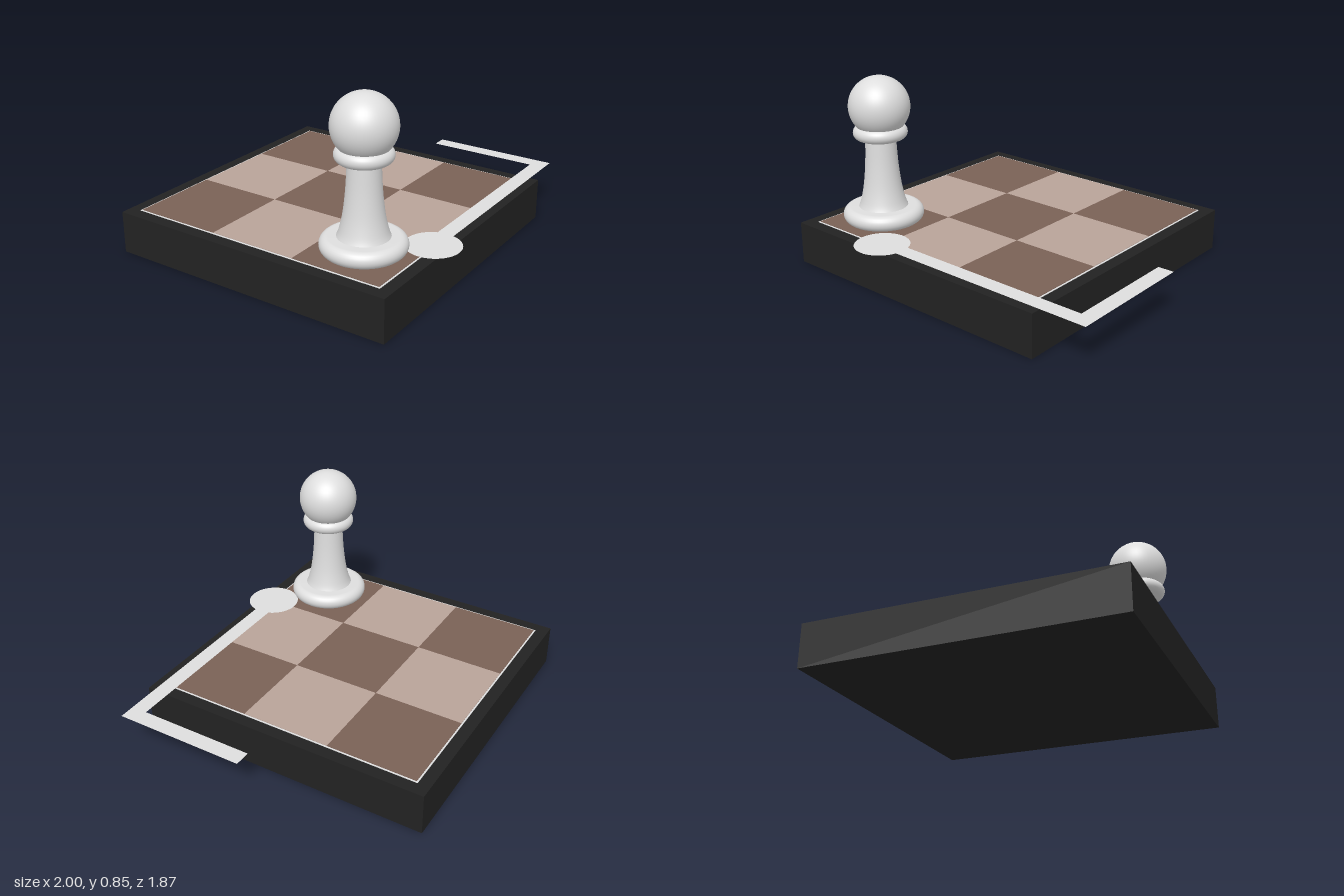
import * as THREE from 'three';

const mat = (name, color, side = THREE.FrontSide) => {
  const m = new THREE.MeshStandardMaterial({ color, side });
  m.name = name;
  return m;
};

export function createModel() {
  const black = mat('black', 0x222222);
  const darkBrown = mat('dark brown', 0x7a6156);
  const lightBrown = mat('light brown', 0xb8a399);
  const white = mat('off white', 0xdedede, THREE.DoubleSide);

  const model = new THREE.Group();
  const add = (parent, name, geometry, material, x = 0, y = 0, z = 0) => {
    const mesh = new THREE.Mesh(geometry, material);
    mesh.name = name;
    mesh.position.set(x, y, z);
    parent.add(mesh);
    return mesh;
  };

  // Square board turned on its corner
  const top = 0.187;
  const board = new THREE.Group();
  board.name = 'board';
  board.position.x = -0.065;
  board.rotation.y = Math.PI / 4;
  model.add(board);
  const side = 0.935 * Math.SQRT2;
  add(board, 'boardBase', new THREE.BoxGeometry(side, top, side), black, 0, top / 2, 0);

  // Thin pale trim showing around the tiles
  const tile = 0.4;
  const trim = tile * 3 + 0.014;
  add(board, 'boardTrim', new THREE.BoxGeometry(trim, 0.002, trim), white, 0, top + 0.001, 0);

  // Three by three chequered tiles, dark in the corners
  const tileGeometry = new THREE.BoxGeometry(tile, 0.004, tile);
  for (let i = -1; i <= 1; i++) {
    for (let j = -1; j <= 1; j++) {
      add(board, 'tile', tileGeometry, (i + j) % 2 === 0 ? darkBrown : lightBrown,
        i * tile, top + 0.002, j * tile);
    }
  }

  // Pawn: rounded foot, flared stem, collar and ball head
  const pawn = new THREE.Group();
  pawn.name = 'pawn';
  pawn.position.set(-0.065, 0, 0.567);
  model.add(pawn);

  // Disc with a half-round rim
  const roundedDisc = (radius, y0, y1) => {
    const r = (y1 - y0) / 2;
    const points = [new THREE.Vector2(0, y0)];
    for (let i = 0; i <= 12; i++) {
      const a = -Math.PI / 2 + (i / 12) * Math.PI;
      points.push(new THREE.Vector2(radius - r + r * Math.cos(a), y0 + r + r * Math.sin(a)));
    }
    points.push(new THREE.Vector2(0, y1));
    return new THREE.LatheGeometry(points, 64);
  };
  add(pawn, 'pawnFoot', roundedDisc(0.177, 0.194, 0.264), white);
  add(pawn, 'pawnCollar', roundedDisc(0.118, 0.57, 0.63), white);

  const stem = new THREE.SplineCurve([
    [0.112, 0.255], [0.098, 0.29], [0.083, 0.36], [0.072, 0.46], [0.066, 0.58],
  ].map(([x, y]) => new THREE.Vector2(x, y)));
  add(pawn, 'pawnStem', new THREE.LatheGeometry(stem.getPoints(20), 64), white);
  add(pawn, 'pawnHead', new THREE.SphereGeometry(0.133, 48, 32), white, 0, 0.714, 0);

  // Flat marker lying on the board: disc with a long bar and a hooked end
  const marker = new THREE.Group();
  marker.name = 'marker';
  marker.position.y = top + 0.006;
  model.add(marker);
  const outline = [
    [0.21, 0.61], [0.995, -0.175], [0.58, -0.587], [0.53, -0.537], [0.895, -0.175], [0.165, 0.555],
  ].map(([x, z]) => new THREE.Vector2(x, -z));
  const bar = new THREE.ShapeGeometry(new THREE.Shape(outline)).rotateX(-Math.PI / 2);
  add(marker, 'markerBar', bar, white);
  const disc = new THREE.CircleGeometry(0.118, 48).rotateX(-Math.PI / 2);
  add(marker, 'markerDisc', disc, white, 0.215, 0, 0.565);

  return model;
}
